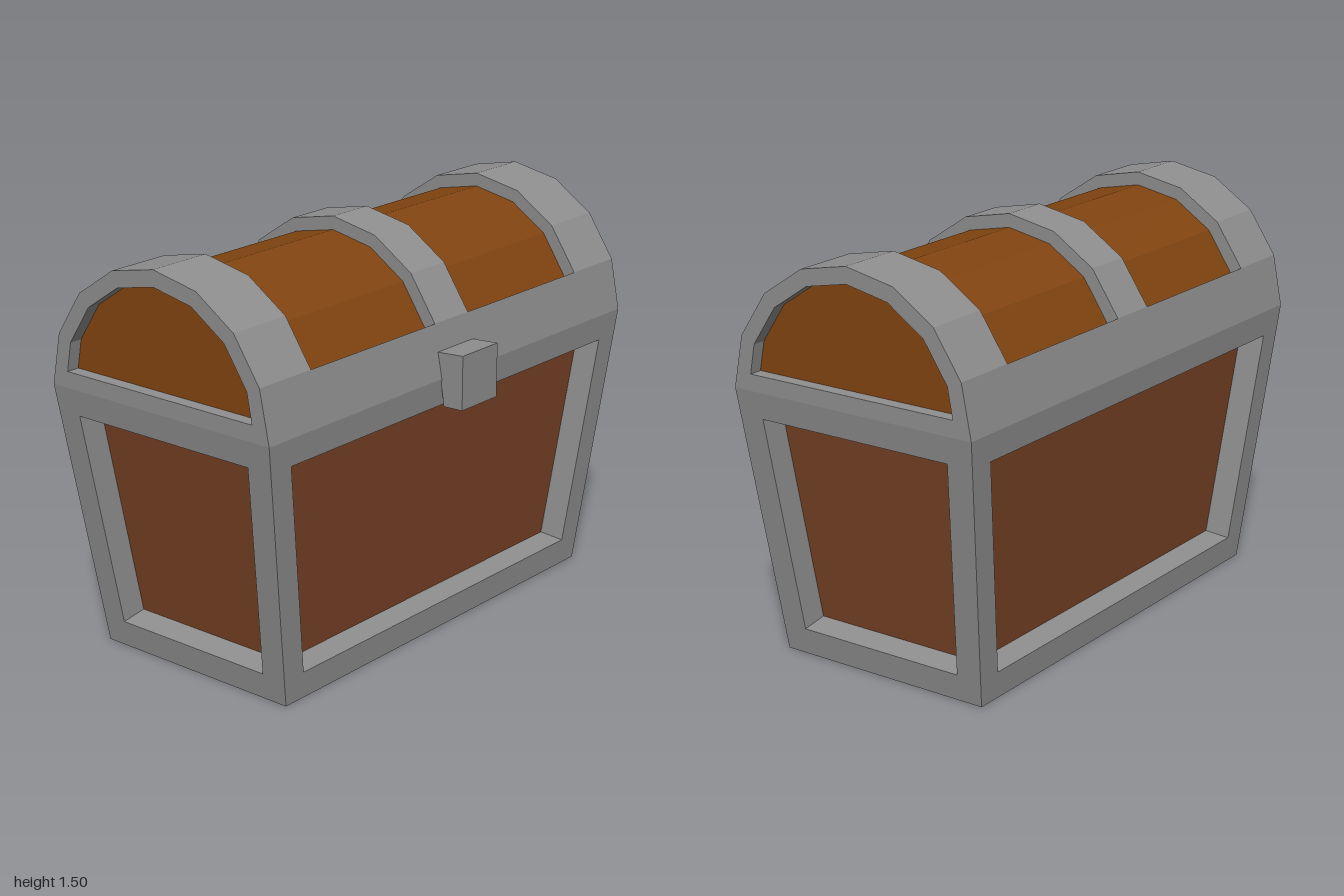
import * as THREE from 'three';

const CX = -0.045; // the box sits slightly off centre because of the latch
const material = (color) =>
  new THREE.MeshStandardMaterial({ color, flatShading: true, side: THREE.DoubleSide });

// Collects flat polygons (corners counter-clockwise from outside) into one mesh
class Surface {
  constructor() { this.positions = []; }
  poly(...pts) {
    for (let i = 1; i < pts.length - 1; i++)
      for (const p of [pts[0], pts[i], pts[i + 1]]) this.positions.push(p.x, p.y, p.z);
  }
  mesh(name, mat) {
    const g = new THREE.BufferGeometry();
    g.setAttribute('position', new THREE.Float32BufferAttribute(this.positions, 3));
    g.computeVertexNormals();
    const m = new THREE.Mesh(g, mat);
    m.name = name;
    return m;
  }
}

// Face with an opening: flat border, walls going inward, and a sunken panel
function sunkenFace(frame, panel, outer, hole, depth) {
  const n = outer.length;
  const normal = new THREE.Plane().setFromCoplanarPoints(outer[0], outer[1], outer[2]).normal;
  const back = hole.map((p) => p.clone().addScaledVector(normal, -depth));
  for (let i = 0; i < n; i++) {
    const j = (i + 1) % n;
    frame.poly(outer[i], outer[j], hole[j], hole[i]);
    frame.poly(hole[i], hole[j], back[j], back[i]);
  }
  panel.poly(...back);
}

export function createModel() {
  const metal = material(0x8f8f8f);
  const wood = material(0x7a4326);
  const lidWood = material(0x824410);
  const group = new THREE.Group();
  group.name = 'chest';
  const V = (x, y, z) => new THREE.Vector3(CX + x, y, z);

  // Tapered body, open underneath: four framed faces with sunken boards
  const halfX = (y) => 0.425 + 0.075 * y;
  const halfZ = (y) => 0.85 + 0.15 * y;
  const bodyFrame = new Surface(), boards = new Surface();
  for (const s of [1, -1]) {
    const end = (x, y) => V(s * x, y, s * halfZ(y));
    const side = (z, y) => V(s * halfX(y), y, -s * z);
    const rect = (at, low, yLow, high, yHigh) =>
      [at(-low, yLow), at(low, yLow), at(high, yHigh), at(-high, yHigh)];
    sunkenFace(bodyFrame, boards, rect(end, 0.425, 0, 0.5, 1),
      rect(end, 0.334, 0.1, 0.392, 0.901), 0.1);
    sunkenFace(bodyFrame, boards, rect(side, 0.85, 0, 1, 1),
      rect(side, 0.766, 0.1, 0.886, 0.901), 0.1);
  }
  group.add(bodyFrame.mesh('bodyFrame', metal), boards.mesh('bodyBoards', wood));

  // Lid: half barrel of eight flat strips, with three raised bands
  const SEG = 8, R = 0.5, DEPTH = 0.05;
  const arc = (k, r, z) => {
    const a = (Math.PI * k) / SEG;
    return V(r * Math.cos(a), 1 + r * Math.sin(a), z);
  };
  const outside = (k, z) => arc(k, R, z);
  // sunken barrel; its lowest edges drop square to the first and last strip
  const inside = (k, z) => {
    if (k > 1 && k < SEG - 1) return arc(k, R - DEPTH, z);
    const a = (Math.PI * (k === 1 ? 1.5 : SEG - 1.5)) / SEG;
    return arc(k, R, z).sub(new THREE.Vector3(DEPTH * Math.cos(a), DEPTH * Math.sin(a), 0));
  };
  const lidFrame = new Surface(), barrel = new Surface(), lidEnds = new Surface();
  const strip = (surface, at, k, z0, z1) =>
    surface.poly(at(k, z1), at(k, z0), at(k + 1, z0), at(k + 1, z1));
  const bands = [[-1, -0.75], [-0.094, 0.094], [0.75, 1]];
  const gaps = [[-0.75, -0.094], [0.094, 0.75]];
  for (let k = 0; k < SEG; k++) {
    if (k === 0 || k === SEG - 1) { // lower rails run the full length
      strip(lidFrame, outside, k, -1, 1);
      continue;
    }
    for (const [z0, z1] of bands) strip(lidFrame, outside, k, z0, z1);
    for (const [z0, z1] of gaps) {
      strip(barrel, inside, k, z0, z1);
      // band edges
      lidFrame.poly(outside(k, z0), outside(k + 1, z0), inside(k + 1, z0), inside(k, z0));
      lidFrame.poly(outside(k + 1, z1), outside(k, z1), inside(k, z1), inside(k + 1, z1));
    }
  }
  // ledges on top of the lower rails
  for (const [z0, z1] of gaps) {
    lidFrame.poly(outside(1, z1), outside(1, z0), inside(1, z0), inside(1, z1));
    lidFrame.poly(outside(7, z0), outside(7, z1), inside(7, z1), inside(7, z0));
  }
  // arched ends with sunken boards
  for (const s of [1, -1]) {
    const outer = [], hole = [];
    for (let k = 0; k <= SEG; k++) {
      outer.push(outside(k, s));
      hole.push(k % SEG ? arc(k, 0.44, s) : V(k ? -0.427 : 0.427, 1.06, s));
    }
    if (s < 0) { outer.reverse(); hole.reverse(); }
    sunkenFace(lidFrame, lidEnds, outer, hole, DEPTH);
  }
  group.add(lidFrame.mesh('lidFrame', metal), barrel.mesh('lidBarrel', lidWood),
    lidEnds.mesh('lidEndBoards', lidWood));

  // Latch block on the long side
  const profile = new THREE.Shape([[0.465, 0.9], [0.545, 0.902], [0.545, 1.101], [0.435, 1.094]]
    .map(([x, y]) => new THREE.Vector2(x, y)));
  const latch = new THREE.Mesh(
    new THREE.ExtrudeGeometry(profile, { depth: 0.2, bevelEnabled: false }).translate(0, 0, -0.1),
    metal);
  latch.name = 'latch';
  group.add(latch);

  return group;
}
